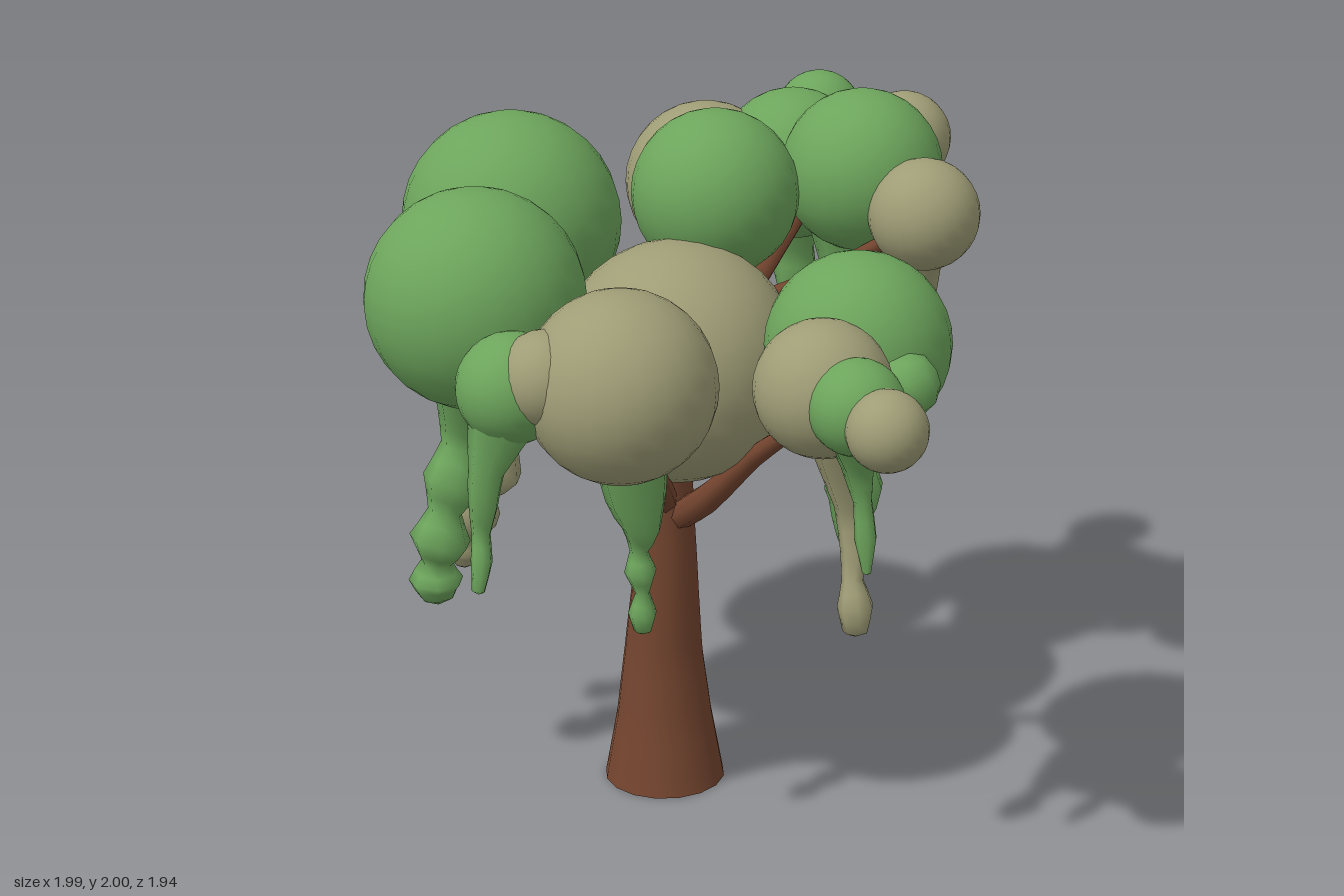
import * as THREE from 'three';

const mat = (color) => new THREE.MeshStandardMaterial({ color, side: THREE.DoubleSide });

// Round skin along a path of [x, y, z, radius] points, listed from the bottom up
function loft(points, sides, rings, closed = true) {
  const curve = new THREE.CatmullRomCurve3(points.map((p) => new THREE.Vector3(p[0], p[1], p[2])));
  const up = new THREE.Vector3(0, 1, 0);
  const turn = new THREE.Quaternion();
  const pos = [], index = [];
  for (let i = 0; i <= rings; i++) {
    const t = i / rings;
    const s = t * (points.length - 1);
    const k = Math.min(Math.floor(s), points.length - 2);
    const r = THREE.MathUtils.lerp(points[k][3], points[k + 1][3], s - k);
    const c = curve.getPoint(t);
    turn.setFromUnitVectors(up, curve.getTangent(t));
    for (let j = 0; j < sides; j++) {
      const a = (j / sides) * Math.PI * 2;
      const v = new THREE.Vector3(Math.cos(a) * r, 0, -Math.sin(a) * r).applyQuaternion(turn).add(c);
      pos.push(v.x, v.y, v.z);
      if (i < rings) {
        const n = (j + 1) % sides, b = i * sides;
        index.push(b + j, b + n, b + sides + j, b + n, b + sides + n, b + sides + j);
      }
    }
  }
  // Close the bottom tip
  if (closed) {
    const tip = pos.length / 3;
    pos.push(points[0][0], points[0][1] - points[0][3] * 0.5, points[0][2]);
    for (let j = 0; j < sides; j++) index.push(tip, (j + 1) % sides, j);
  }
  const g = new THREE.BufferGeometry();
  g.setAttribute('position', new THREE.Float32BufferAttribute(pos, 3));
  g.setIndex(index);
  g.computeVertexNormals();
  return g;
}

export function createModel() {
  const model = new THREE.Group();
  const bark = mat(0x74452f), green = mat(0x6da55c), beige = mat(0x9f9d76);
  const add = (name, geometry, material) => {
    const mesh = new THREE.Mesh(geometry, material);
    mesh.name = name;
    model.add(mesh);
    return mesh;
  };

  // Flared trunk, open at the foot
  add('trunk', loft([
    [-0.155, 0, 0.105, 0.176], [-0.155, 0.2, 0.105, 0.14], [-0.153, 0.4, 0.11, 0.115],
    [-0.14, 0.6, 0.12, 0.098], [-0.13, 0.8, 0.13, 0.085], [-0.125, 1.0, 0.14, 0.078],
    [-0.11, 1.2, 0.15, 0.07],
  ], 16, 24, false), bark);

  // Branches running out to the foliage
  [
    [[-0.12, 0.82, 0.13, 0.045], [0.03, 0.93, 0.18, 0.042], [0.2, 1.1, 0.2, 0.03], [0.34, 1.22, 0.22, 0.022], [0.5, 1.42, 0.24, 0.03]],
    [[-0.12, 0.88, 0.15, 0.04], [-0.04, 0.99, 0.3, 0.035], [0.02, 1.12, 0.45, 0.03], [0.06, 1.3, 0.6, 0.03]],
    [[-0.15, 0.92, 0.13, 0.05], [-0.27, 1.06, 0.14, 0.04], [-0.42, 1.25, 0.12, 0.035], [-0.6, 1.5, 0.08, 0.03]],
    [[-0.15, 0.88, 0.16, 0.045], [-0.24, 1.0, 0.28, 0.04], [-0.36, 1.22, 0.42, 0.035], [-0.46, 1.42, 0.5, 0.03]],
    [[-0.12, 1.05, 0.12, 0.05], [-0.1, 1.25, -0.06, 0.045], [-0.05, 1.42, -0.2, 0.035], [0.02, 1.65, -0.4, 0.03]],
    [[-0.06, 1.38, -0.16, 0.03], [0.14, 1.48, -0.25, 0.026], [0.4, 1.65, -0.31, 0.02]],
  ].forEach((p) => add('branch', loft(p, 7, 12), bark));

  // Foliage clumps: x, y, z, radius
  const clumps = (name, material, list) => list.forEach(([x, y, z, r]) =>
    add(name, new THREE.SphereGeometry(r, 24, 16), material).position.set(x, y, z));
  clumps('greenFoliage', green, [
    [-0.68, 1.61, 0.065, 0.315], [-0.49, 1.535, 0.525, 0.305], [-0.18, 1.42, 0.81, 0.15],
    [0.545, 1.5, 0.25, 0.25], [0.77, 1.5, 0.68, 0.125], [-0.1, 1.735, -0.1, 0.237],
    [0.2, 1.77, -0.41, 0.23], [-0.09, 1.72, -0.53, 0.22], [-0.16, 1.75, -0.72, 0.11],
    [-0.18, 1.785, -0.85, 0.13], [0.06, 1.7, -0.58, 0.17],
  ]);
  clumps('beigeFoliage', beige, [
    [-0.07, 1.32, 0.16, 0.34], [0.06, 1.42, 0.66, 0.26], [0.63, 1.5, 0.6, 0.18],
    [0.89, 1.48, 0.745, 0.105], [-0.3, 1.67, -0.385, 0.235], [0.23, 1.82, -0.61, 0.135],
    [0.45, 1.7, -0.31, 0.157], [-0.77, 1.54, -0.18, 0.17], [-0.08, 1.46, 0.8, 0.13],
  ]);

  // Hanging vines with knotted beads, thickening into the clump above
  const vine = (name, material, p) => add(name, loft(p, 7, (p.length - 1) * 2), material);
  vine('greenVine', green, [
    [-0.67, 0.6, 0.5, 0.05], [-0.675, 0.65, 0.5, 0.08], [-0.67, 0.71, 0.5, 0.045], [-0.655, 0.78, 0.5, 0.09],
    [-0.65, 0.86, 0.48, 0.05], [-0.63, 0.95, 0.46, 0.09], [-0.62, 1.05, 0.43, 0.06], [-0.6, 1.15, 0.42, 0.09],
    [-0.55, 1.35, 0.45, 0.14],
  ]);
  vine('beigeVine', beige, [
    [-0.76, 0.59, 0.24, 0.03], [-0.76, 0.64, 0.24, 0.06], [-0.74, 0.7, 0.25, 0.04], [-0.71, 0.77, 0.26, 0.085],
    [-0.69, 0.84, 0.25, 0.05], [-0.66, 0.91, 0.24, 0.1], [-0.64, 1.0, 0.23, 0.06], [-0.62, 1.1, 0.22, 0.1],
    [-0.62, 1.2, 0.2, 0.07], [-0.64, 1.4, 0.16, 0.14],
  ]);
  vine('greenVine', green, [
    [-0.23, 0.87, 0.92, 0.018], [-0.23, 0.95, 0.9, 0.03], [-0.24, 1.02, 0.885, 0.026], [-0.23, 1.1, 0.885, 0.04],
    [-0.22, 1.2, 0.88, 0.05], [-0.2, 1.3, 0.85, 0.085], [-0.18, 1.4, 0.82, 0.13],
  ]);
  vine('greenVine', green, [
    [0.09, 0.71, 0.61, 0.025], [0.09, 0.76, 0.61, 0.04], [0.09, 0.82, 0.61, 0.02], [0.085, 0.88, 0.61, 0.045],
    [0.08, 0.94, 0.61, 0.025], [0.09, 1.01, 0.61, 0.055], [0.075, 1.09, 0.61, 0.085], [0.07, 1.25, 0.63, 0.11],
  ]);
  vine('greenVine', green, [
    [0.64, 0.94, 0.41, 0.025], [0.63, 1.0, 0.4, 0.045], [0.61, 1.07, 0.39, 0.055],
    [0.61, 1.15, 0.38, 0.08], [0.59, 1.22, 0.38, 0.07], [0.58, 1.38, 0.35, 0.13],
  ]);
  vine('beigeVine', beige, [
    [0.66, 0.78, 0.46, 0.035], [0.66, 0.85, 0.46, 0.05], [0.645, 0.92, 0.45, 0.03], [0.64, 1.0, 0.43, 0.04],
    [0.62, 1.12, 0.43, 0.04], [0.61, 1.38, 0.48, 0.1],
  ]);
  vine('greenVine', green, [
    [0.775, 1.03, 0.62, 0.012], [0.765, 1.12, 0.61, 0.03], [0.755, 1.22, 0.61, 0.025],
    [0.745, 1.32, 0.62, 0.045], [0.75, 1.46, 0.65, 0.1],
  ]);
  vine('greenVine', green, [
    [-0.79, 1.0, -0.26, 0.018], [-0.79, 1.06, -0.26, 0.03], [-0.8, 1.14, -0.26, 0.02], [-0.79, 1.24, -0.26, 0.035],
    [-0.78, 1.34, -0.24, 0.055], [-0.77, 1.48, -0.2, 0.12],
  ]);
  vine('beigeVine', beige, [
    [0.16, 0.92, -0.5, 0.035], [0.16, 0.99, -0.48, 0.065], [0.17, 1.07, -0.46, 0.06], [0.17, 1.13, -0.45, 0.03],
  ]);
  vine('greenVine', green, [
    [0.17, 1.1, -0.46, 0.04], [0.165, 1.17, -0.44, 0.075], [0.16, 1.25, -0.42, 0.06],
    [0.15, 1.35, -0.42, 0.085], [0.15, 1.45, -0.43, 0.075], [0.16, 1.65, -0.43, 0.14],
  ]);
  vine('beigeVine', beige, [
    [-0.29, 1.0, -0.58, 0.035], [-0.29, 1.06, -0.56, 0.05], [-0.29, 1.13, -0.54, 0.035], [-0.28, 1.21, -0.53, 0.06],
    [-0.28, 1.3, -0.53, 0.045], [-0.28, 1.4, -0.5, 0.075], [-0.28, 1.6, -0.45, 0.14],
  ]);
  vine('greenVine', green, [
    [-0.1, 1.12, -0.53, 0.025], [-0.1, 1.2, -0.55, 0.055], [-0.1, 1.28, -0.56, 0.04],
    [-0.1, 1.37, -0.57, 0.065], [-0.1, 1.46, -0.56, 0.06], [-0.1, 1.65, -0.55, 0.14],
  ]);
  vine('beigeVine', beige, [
    [0.42, 1.36, -0.41, 0.012], [0.42, 1.45, -0.4, 0.03], [0.43, 1.53, -0.37, 0.045], [0.44, 1.65, -0.34, 0.1],
  ]);
  // Small leaf tuft beside the right-hand clump
  add('leafTuft', new THREE.IcosahedronGeometry(0.09, 1), green).position.set(0.75, 1.46, 0.37);

  return model;
}
